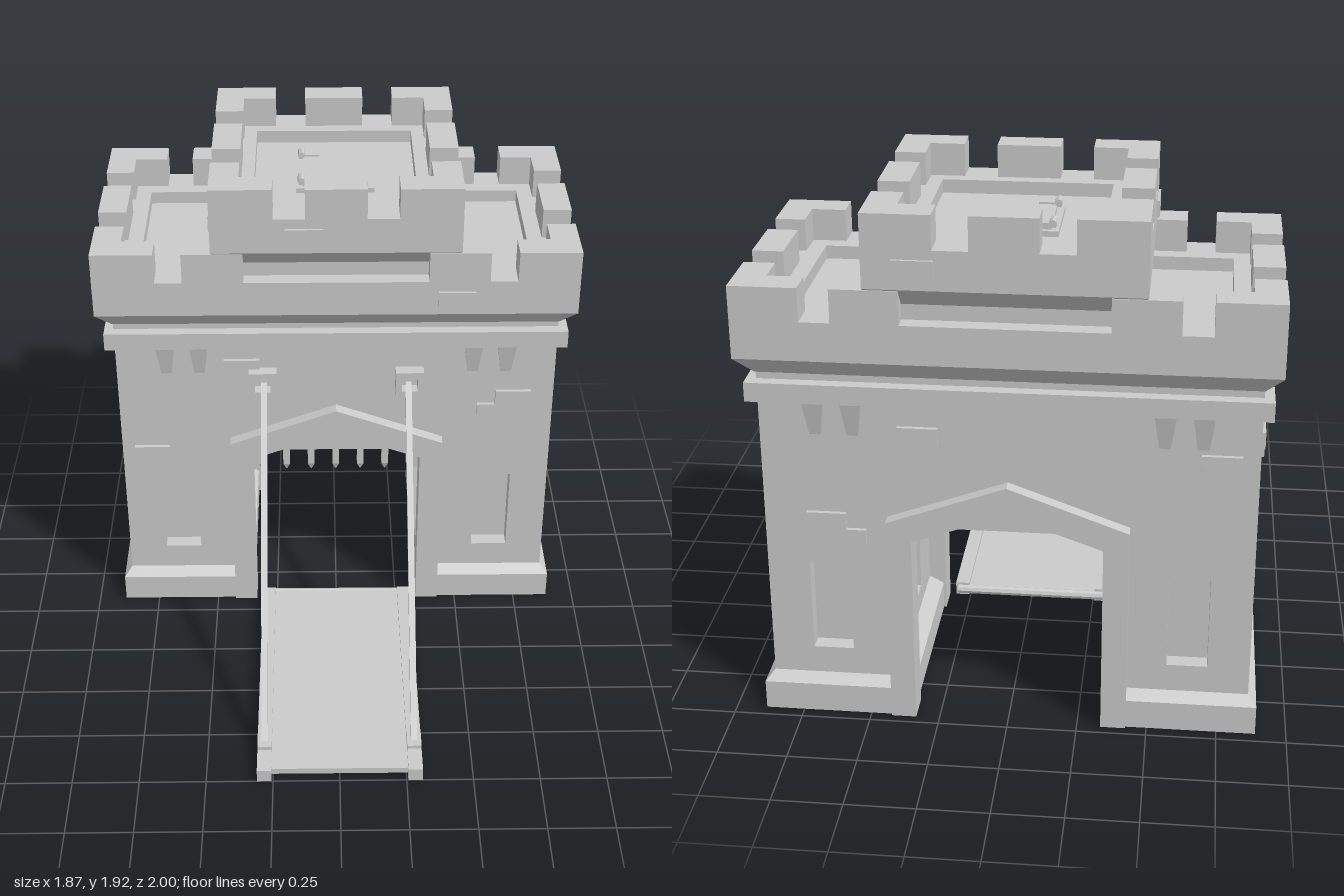
import * as THREE from 'three';

const mat = new THREE.MeshStandardMaterial({ color: 0xcccccc, flatShading: true });

export function createModel() {
  const model = new THREE.Group();
  const gate = new THREE.Group();
  gate.name = 'gatehouse';
  gate.position.z = -0.52;
  model.add(gate);

  const add = (name, geo, parent = gate) => {
    const m = new THREE.Mesh(geo, mat);
    m.name = name;
    parent.add(m);
    return m;
  };
  // box from opposite corners
  const box = (name, x0, x1, y0, y1, z0, z1, parent = gate) => {
    const m = add(name, new THREE.BoxGeometry(x1 - x0, y1 - y0, z1 - z0), parent);
    m.position.set((x0 + x1) / 2, (y0 + y1) / 2, (z0 + z1) / 2);
    return m;
  };
  // block between two rectangles [x0, x1, z0, z1] at heights y0 and y1
  const taper = (name, a, y0, b, y1, parent = gate) => {
    const g = new THREE.BoxGeometry(1, 1, 1);
    const p = g.attributes.position;
    for (let i = 0; i < p.count; i++) {
      const top = p.getY(i) > 0, r = top ? b : a;
      p.setXYZ(i, p.getX(i) < 0 ? r[0] : r[1], top ? y1 : y0, p.getZ(i) < 0 ? r[2] : r[3]);
    }
    g.computeVertexNormals();
    return add(name, g, parent);
  };
  const sym = (x, z) => [-x, x, -z, z];
  const poly = pts => pts.map(p => new THREE.Vector2(...p));
  const rect = (x0, x1, y0, y1) => poly([[x0, y0], [x1, y0], [x1, y1], [x0, y1]]);
  const extrude = (pts, holes, depth) => {
    const s = new THREE.Shape(pts);
    s.holes = holes.map(h => new THREE.Path(h));
    return new THREE.ExtrudeGeometry(s, { depth, bevelEnabled: false });
  };

  // front and back walls with arch and window recesses, arch surround, corbels
  const arch = [[0.335, 0], [0.335, 0.72], [0, 0.84], [-0.335, 0.72], [-0.335, 0]];
  for (const s of [1, -1]) {
    const face = new THREE.Group();
    face.name = s > 0 ? 'frontFace' : 'backFace';
    face.rotation.y = s > 0 ? 0 : Math.PI;
    gate.add(face);
    const wall = poly([[-0.86, 0], [-0.86, 1.23], [0.86, 1.23], [0.86, 0], ...arch]);
    const windows = [rect(-0.71, -0.565, 0.245, 0.6), rect(0.565, 0.71, 0.245, 0.6)];
    add('wall', extrude(wall, windows, 0.06), face).position.z = 0.335;
    const frame = poly([[-0.425, 0], [-0.425, 0.79], [0, 0.945], [0.425, 0.79], [0.425, 0], ...arch]);
    add('archSurround', extrude(frame, [], 0.055), face).position.z = 0.39;
    for (const x of [-0.665, -0.535, 0.535, 0.665])
      taper('corbel', [x - 0.02, x + 0.02, 0.38, 0.4], 1.1, [x - 0.038, x + 0.038, 0.38, 0.425], 1.235, face);
  }

  // side blocks, passage walls with niches, stepped plinths
  for (const s of [1, -1]) {
    const side = new THREE.Group();
    side.name = s > 0 ? 'leftSide' : 'rightSide';
    side.rotation.y = s > 0 ? 0 : Math.PI;
    gate.add(side);
    box('sideBlock', 0.47, 0.86, 0, 0.72, -0.335, 0.335, side);
    const liner = add('passageWall', extrude(rect(-0.335, 0.335, 0, 0.72), [rect(-0.12, 0.12, 0.22, 0.6)], 0.07), side);
    liner.rotation.y = Math.PI / 2;
    liner.position.x = 0.4;
    box('plinth', 0.345, 0.89, 0, 0.11, -0.435, 0.435, side);
    taper('plinthSlope', [0.345, 0.89, -0.435, 0.435], 0.11, [0.4, 0.86, -0.395, 0.395], 0.14, side);
  }
  box('upperBody', -0.86, 0.86, 0.72, 1.23, -0.335, 0.335);
  box('neck', -0.86, 0.86, 1.23, 1.33, -0.395, 0.395);
  box('cornice', -0.895, 0.895, 1.23, 1.3, -0.438, 0.438);

  // battlement: flare, wall ring, floor and merlons; spans are [from, to] on +x of each long side
  const battlement = (name, hx, hz, y, inset, longSpans) => {
    const g = new THREE.Group();
    g.name = name;
    gate.add(g);
    taper('flare', sym(hx - 0.06, hz - 0.06), y - 0.07, sym(hx, hz), y, g);
    const ring = add('parapet', extrude(rect(-hx, hx, -hz, hz), [rect(-hx + inset, hx - inset, -hz + inset, hz - inset)], 0.14), g);
    ring.rotation.x = -Math.PI / 2;
    ring.position.y = y;
    box('floor', -hx + 0.1, hx - 0.1, y, y + 0.09, -hz + 0.1, hz - 0.1, g);
    const y0 = y + 0.14, y1 = y + 0.26, t = 0.11;
    for (const s of [1, -1]) {
      for (const [a, b] of longSpans)
        box('merlon', a, b, y0, y1, s > 0 ? hz - t : -hz, s > 0 ? hz : -hz + t, g);
      const x0 = s > 0 ? hx - t : -hx, x1 = x0 + t;
      box('merlon', x0, x1, y0, y1, -0.117, 0.117, g);
      for (const c of [1, -1]) {
        // L-shaped corner merlon
        const w = 0.235;
        const L = poly([[0, 0], [w, 0], [w, t], [t, t], [t, w], [0, w]].map(([u, v]) => [s * (hx - u), c * (hz - v)]));
        const m = add('cornerMerlon', extrude(L, [], 0.12), g);
        m.rotation.x = -Math.PI / 2;
        m.position.y = y0;
      }
    }
  };
  battlement('lowerBattlement', 0.92, 0.47, 1.4, 0.17, [[-0.58, -0.35], [0.35, 0.58]]);
  box('towerNeck', -0.41, 0.41, 1.45, 1.6, -0.41, 0.41);
  battlement('upperBattlement', 0.47, 0.47, 1.665, 0.16, [[-0.115, 0.115]]);

  // roof hatch with hinges
  box('hatchFrame', -0.15, 0.15, 1.75, 1.775, -0.15, 0.15);
  box('hatchLid', -0.125, 0.125, 1.77, 1.79, -0.13, 0.13);
  for (const z of [-0.115, 0.115]) {
    box('hingePlate', -0.14, -0.06, 1.78, 1.797, z - 0.015, z + 0.015);
    const h = add('hingePin', new THREE.CylinderGeometry(0.014, 0.014, 0.05, 8));
    h.rotation.x = Math.PI / 2;
    h.position.set(-0.13, 1.798, z);
  }

  // raised bricks: [x, y] on front and back faces, [z, y] on sides, plus face distance
  const brick = (x, y, z, alongX) =>
    box('brick', x - (alongX ? 0.07 : 0.015), x + (alongX ? 0.07 : 0.015), y - 0.031, y + 0.031,
      z - (alongX ? 0.015 : 0.07), z + (alongX ? 0.015 : 0.07));
  for (const [x, y, z] of [
    [-0.74, 0.725, 0.395], [-0.37, 1.13, 0.395], [0.7, 0.98, 0.395], [0.63, 0.918, 0.395],
    [0.457, 1.467, 0.465], [-0.12, 1.735, 0.465],
    [0.64, 0.77, -0.395], [0.57, 0.708, -0.395], [0.31, 1.11, -0.395], [-0.73, 1.05, -0.395], [0.3, 1.74, -0.465],
  ]) brick(x, y, z, true);
  for (const [x, y, z] of [
    [0.86, 1.125, 0.065], [0.92, 1.47, -0.315], [0.465, 1.74, 0.16],
    [-0.86, 1.11, -0.26], [-0.86, 1.048, -0.19], [-0.86, 0.305, 0.19], [-0.92, 1.47, 0.3], [-0.465, 1.74, 0.305],
  ]) brick(x, y, z, false);

  // portcullis
  const port = new THREE.Group();
  port.name = 'portcullis';
  port.position.z = 0.24;
  gate.add(port);
  box('crossBar', -0.29, 0.29, 0.63, 0.665, -0.01, 0.01, port);
  for (let i = -3; i <= 3; i++) {
    const x = i * 0.102, w = 0.014;
    box('bar', x - w, x + w, 0.56, 0.74, -w, w, port);
    taper('spike', [x - 0.002, x + 0.002, -0.002, 0.002], 0.53, [x - w, x + w, -w, w], 0.56, port);
  }

  // drawbridge
  const bridge = new THREE.Group();
  bridge.name = 'drawbridge';
  model.add(bridge);
  box('deck', -0.26, 0.26, 0.015, 0.04, -0.08, 0.977, bridge);
  const hinge = add('bridgeHinge', new THREE.CylinderGeometry(0.018, 0.018, 0.6, 8), bridge);
  hinge.rotation.z = Math.PI / 2;
  hinge.position.set(0, 0.025, -0.08);
  for (const s of [1, -1]) {
    const x = 0.283 * s;
    box('rail', x - 0.027, x + 0.027, 0, 0.053, -0.08, 1, bridge);
    box('polePlate', x - 0.027, x + 0.027, 0.053, 0.068, 0.8, 0.89, bridge);
    // supporting pole
    const a = new THREE.Vector3(x, 0.06, 0.85), b = new THREE.Vector3(x, 1.07, -0.09);
    const pole = add('pole', new THREE.BoxGeometry(0.024, 0.024, a.distanceTo(b)), bridge);
    pole.position.copy(a).add(b).multiplyScalar(0.5);
    pole.lookAt(b);
    // wall bracket with square opening
    const bracket = add('poleBracket', extrude(rect(-0.055, 0.055, -0.057, 0.057), [rect(-0.031, 0.031, -0.028, 0.028)], 0.05), bridge);
    bracket.position.set(0.288 * s, 1.063, -0.126);
  }
  return model;
}
